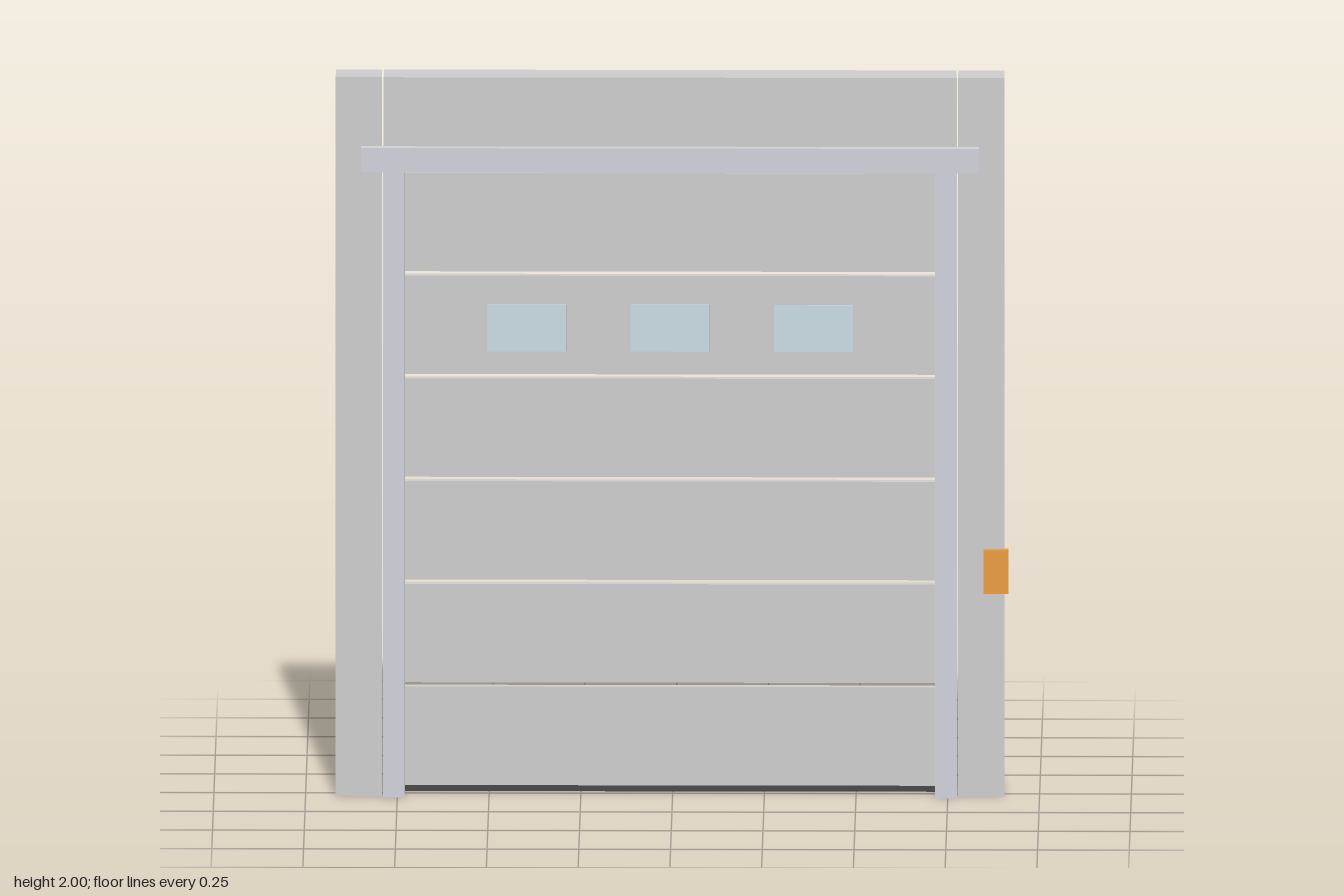
import * as THREE from 'three';

const mat = (color) => new THREE.MeshStandardMaterial({ color });

export function createModel() {
  const model = new THREE.Group();
  const wall = mat(0xcccccc), trim = mat(0xcfcfd8), glass = mat(0xc8dae2);
  const orange = mat(0xe89a3c), rubber = mat(0x444444);

  // Box given by its extents along each axis
  const box = (name, [x0, x1], [y0, y1], [z0, z1], material) => {
    const mesh = new THREE.Mesh(new THREE.BoxGeometry(x1 - x0, y1 - y0, z1 - z0), material);
    mesh.position.set((x0 + x1) / 2, (y0 + y1) / 2, (z0 + z1) / 2);
    mesh.name = name;
    model.add(mesh);
  };

  const cx = -0.007; // the door's own centre; the control box offsets the whole
  const span = (a, b) => [cx + a, cx + b];
  const wallZ = [-0.064, 0.039];

  // Wall pillars and door jambs, mirrored
  for (const [side, s] of [['right', -1], ['left', 1]]) {
    const mirror = (a, b) => (s > 0 ? span(a, b) : span(-b, -a));
    box(side + 'Pillar', mirror(0.785, 0.911), [0, 2], wallZ, wall);
    box(side + 'Jamb', mirror(0.723, 0.782), [0, 1.74], [-0.06, 0.064], trim);
  }

  // Lintel and the header rail in front of it
  box('lintel', span(-0.78, 0.78), [1.742, 2], wallZ, wall);
  box('headerRail', span(-0.842, 0.842), [1.74, 1.808], [0.039, 0.064], trim);

  // Six door sections separated by narrow gaps, over a rubber seal
  const doorZ = [-0.036, -0.01], pitch = 0.286;
  for (let i = 0; i < 6; i++) {
    const top = 0.294 + i * pitch;
    const bottom = i ? top - pitch + 0.012 : 0.02;
    box('doorSection' + (i + 1), span(-0.723, 0.723), [bottom, top], doorZ, wall);
  }
  box('bottomSeal', span(-0.723, 0.723), [0.003, 0.02], [-0.034, -0.012], rubber);

  // Windows in the fifth section
  for (let i = -1; i <= 1; i++) {
    const x = i * 0.391;
    box('window' + (i + 2), span(x - 0.108, x + 0.108), [1.228, 1.358], [-0.02, -0.005], glass);
  }

  // Control box on the left pillar
  box('controlBox', [0.847, 0.915], [0.57, 0.69], [0.037, 0.064], orange);

  return model;
}
